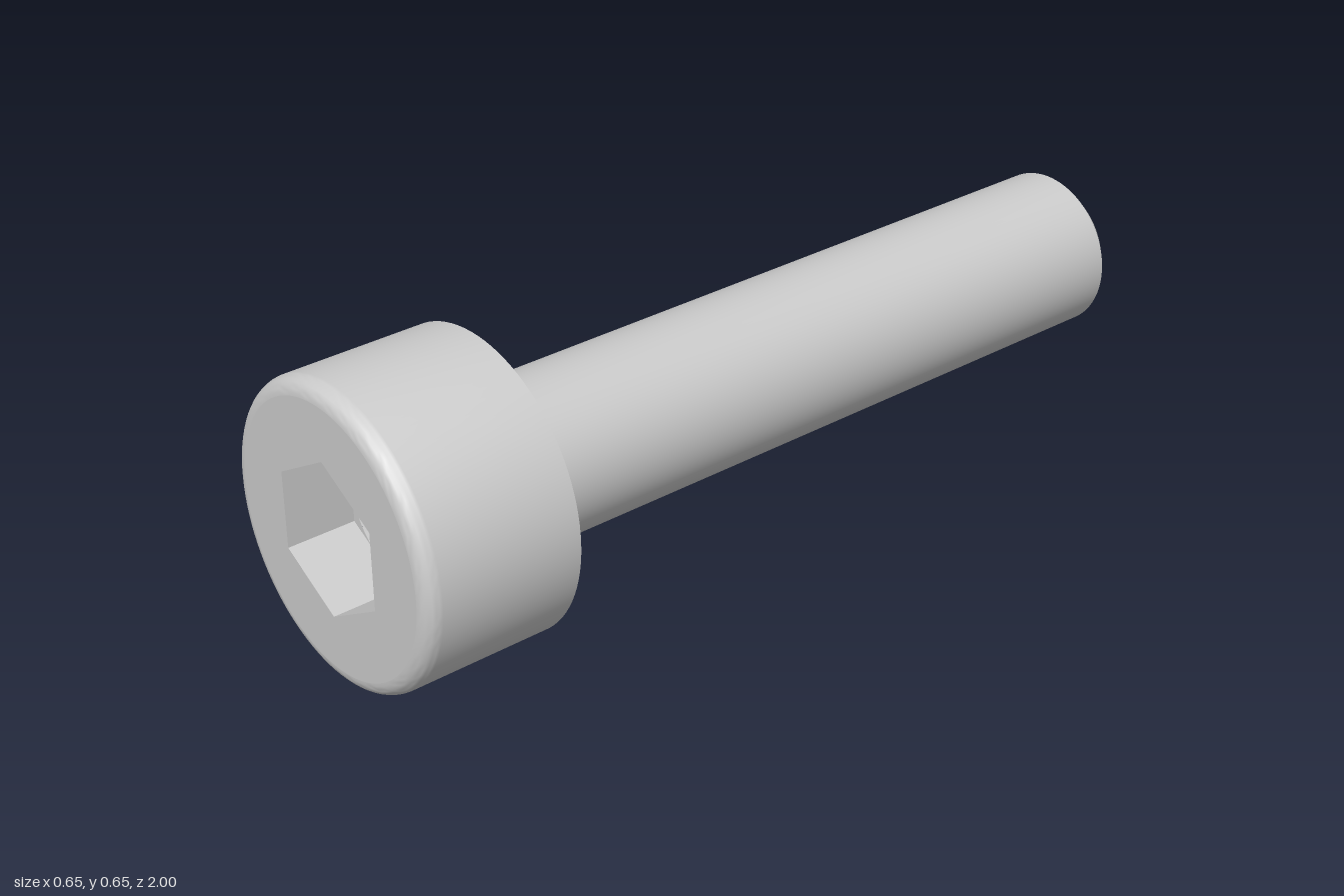
import * as THREE from 'three';
import { toCreasedNormals } from 'three/addons/utils/BufferGeometryUtils.js';

const SEGMENTS = 96;
const HEAD_R = 0.3235, SHANK_R = 0.1765, RIM = 0.035;
const HEX_R = 0.171, CONE_R = 0.148;
const FRONT = 1, HEAD_BACK = 0.647, FLOOR = 0.847, CONE_TIP = 0.762;

export function createModel() {
  const group = new THREE.Group();
  const material = new THREE.MeshStandardMaterial({ color: 0xcccccc });

  function add(name, geometry) {
    const mesh = new THREE.Mesh(geometry, material);
    mesh.name = name;
    mesh.position.y = HEAD_R;
    group.add(mesh);
  }

  // Revolve [radius, z] pairs about the z axis
  function revolve(profile, segments = SEGMENTS) {
    const points = profile.map(([r, z]) => new THREE.Vector2(r, z));
    return new THREE.LatheGeometry(points, segments).rotateX(Math.PI / 2);
  }

  const hexPoints = [];
  for (let i = 0; i < 6; i++) {
    const a = Math.PI / 2 + i * Math.PI / 3;
    hexPoints.push(new THREE.Vector2(HEX_R * Math.cos(a), HEX_R * Math.sin(a)));
  }

  // Shank with chamfered tip and a flare below the head
  add('shank', toCreasedNormals(revolve([
    [0, -1], [0.145, -1], [SHANK_R, -0.968], [SHANK_R, 0.575],
    [0.178, 0.587], [0.184, 0.6], [0.212, HEAD_BACK],
  ]), 0.6));

  // Head underside, side and rounded front rim
  const headProfile = [[0.212, HEAD_BACK], [HEAD_R, HEAD_BACK]];
  for (let i = 0; i <= 8; i++) {
    const a = i / 8 * Math.PI / 2;
    headProfile.push([HEAD_R - RIM + RIM * Math.cos(a), FRONT - RIM + RIM * Math.sin(a)]);
  }
  add('head', toCreasedNormals(revolve(headProfile), 0.6));

  // Front face with the hexagonal opening
  const face = new THREE.Shape().absarc(0, 0, HEAD_R - RIM, 0, Math.PI * 2);
  face.holes.push(new THREE.Path(hexPoints));
  add('headFace', new THREE.ShapeGeometry(face, SEGMENTS).translate(0, 0, FRONT));

  // Socket walls, corner ledges and drilled cone
  add('socketWalls', toCreasedNormals(revolve([[HEX_R, FRONT], [HEX_R, FLOOR]], 6), 0.3));
  const ledge = new THREE.Shape(hexPoints);
  ledge.holes.push(new THREE.Path().absarc(0, 0, CONE_R, 0, Math.PI * 2, true));
  add('socketLedge', new THREE.ShapeGeometry(ledge, SEGMENTS).translate(0, 0, FLOOR));
  add('socketCone', revolve([[CONE_R, FLOOR], [0, CONE_TIP]]));

  return group;
}
